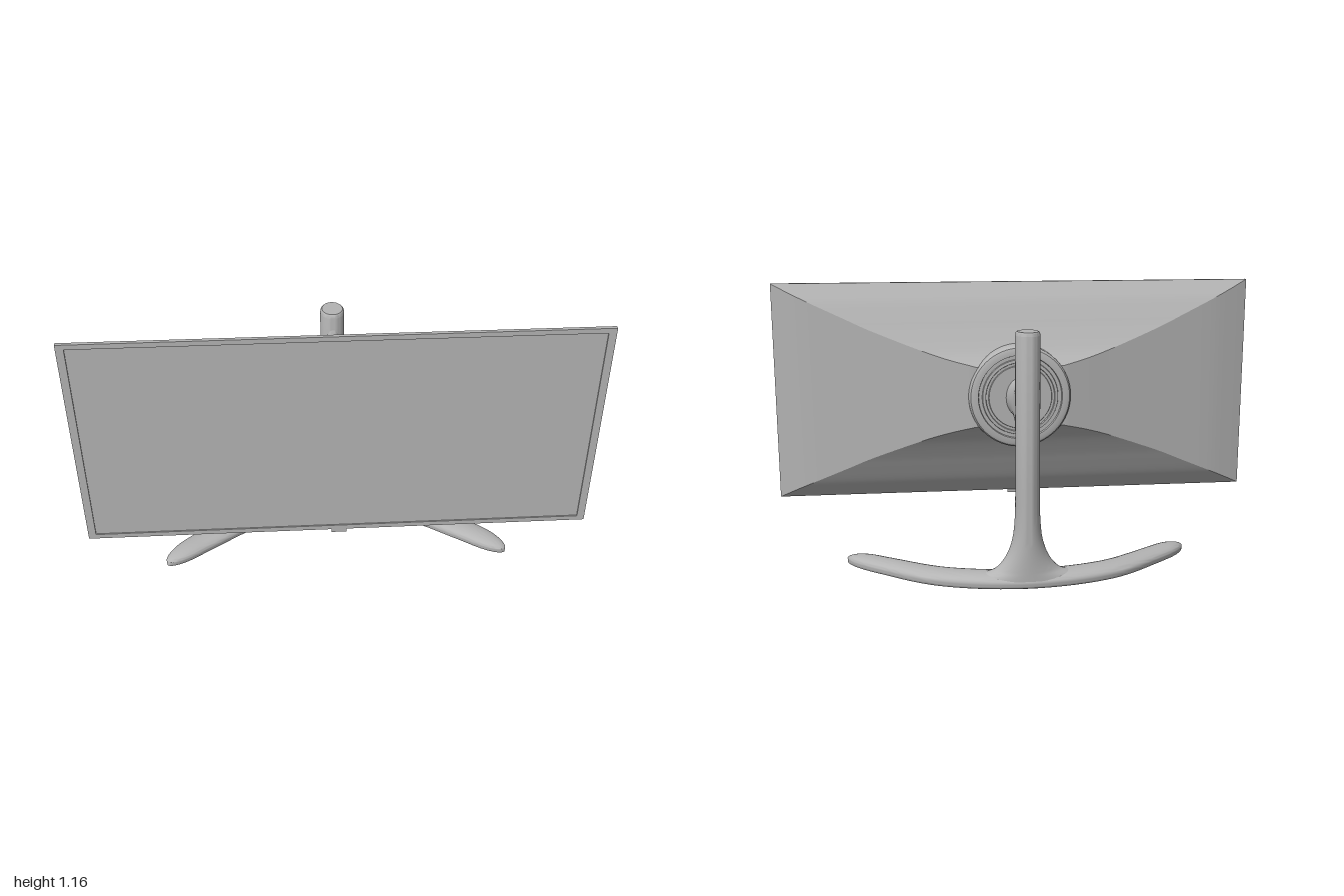
import * as THREE from 'three';
import { toCreasedNormals } from 'three/addons/utils/BufferGeometryUtils.js';

const V = (x, y, z) => new THREE.Vector3(x, y, z);

// Skin a series of closed rings (counter-clockwise about the travel direction), with end caps
function loft(rings, crease = 0.7) {
  const n = rings[0].length, last = rings.length - 1, pos = [], idx = [];
  rings.forEach(r => r.forEach(p => pos.push(p.x, p.y, p.z)));
  for (let i = 0; i < last; i++) for (let j = 0; j < n; j++) {
    const k = (j + 1) % n, a = i * n + j, b = i * n + k;
    idx.push(a, b, b + n, a, b + n, a + n);
  }
  for (const r of [rings[0], rings[last]]) {
    const c = r.reduce((s, p) => s.add(p), V(0, 0, 0)).divideScalar(n);
    pos.push(c.x, c.y, c.z);
  }
  const c0 = rings.length * n;
  for (let j = 0; j < n; j++) {
    const k = (j + 1) % n;
    idx.push(k, j, c0, last * n + j, last * n + k, c0 + 1);
  }
  const g = new THREE.BufferGeometry();
  g.setAttribute('position', new THREE.Float32BufferAttribute(pos, 3));
  g.setIndex(idx);
  return toCreasedNormals(g, crease);
}

// Ring from a function of (cos, sin)
const ring = (f, n = 40) => Array.from({ length: n }, (_, j) => {
  const a = j / n * Math.PI * 2;
  return f(Math.cos(a), Math.sin(a));
});

// Smoothly resample rows of numbers, so that a few stations give a soft profile
function resample(rows, steps) {
  const cols = rows[0].map((_, c) => new THREE.CatmullRomCurve3(rows.map((r, i) => V(i, r[c], 0))));
  return Array.from({ length: steps + 1 }, (_, i) => cols.map(c => c.getPoint(i / steps).y));
}

export function createModel() {
  const model = new THREE.Group();
  model.name = 'monitor';
  const grey = new THREE.MeshStandardMaterial({ color: 0xb4b4b4 });
  grey.name = 'grey';
  const add = (name, geo) => {
    const m = new THREE.Mesh(geo, grey);
    m.name = name;
    model.add(m);
    return m;
  };
  const cy = 0.715;

  // Bezel frame with a slightly recessed screen
  const rect = (P, w, h) => {
    const p = new P();
    p.moveTo(-w, -h); p.lineTo(w, -h); p.lineTo(w, h); p.lineTo(-w, h); p.closePath();
    return p;
  };
  const frame = rect(THREE.Shape, 1, 0.45);
  frame.holes.push(rect(THREE.Path, 0.97, 0.43));
  add('bezel', new THREE.ExtrudeGeometry(frame, { depth: 0.015, bevelEnabled: false })).position.set(0, cy, 0.25);
  add('screen', new THREE.BoxGeometry(1.95, 0.87, 0.009)).position.set(0, cy, 0.2555);

  // Rear shell: rectangles growing from the centre to the edges [z, half width, half height]
  const shell = resample([
    [0.045, 0.18, 0.124], [0.07, 0.29, 0.152], [0.098, 0.405, 0.19], [0.141, 0.6, 0.265],
    [0.165, 0.705, 0.312], [0.198, 0.845, 0.375], [0.225, 0.93, 0.415], [0.25, 1, 0.45],
  ], 28);
  add('rearShell', loft(shell.map(([z, w, h]) =>
    [V(w, cy - h, z), V(w, cy + h, z), V(-w, cy + h, z), V(-w, cy - h, z)]), 0.3));

  // Small sensor under the lower edge
  add('powerButton', new THREE.BoxGeometry(0.06, 0.016, 0.012)).position.set(0, 0.258, 0.259);

  // Round mount with grooves [radius, height toward the back]
  const profile = [
    [0.21, -0.13], [0.21, -0.05], [0.208, -0.038], [0.202, -0.029], [0.192, -0.025], [0.172, -0.025],
    [0.17, -0.036], [0.156, -0.036], [0.154, -0.028], [0.142, -0.027], [0.14, -0.034],
    [0.13, -0.034], [0.128, -0.028], [0, -0.028],
  ].map(p => new THREE.Vector2(...p));
  const hub = new THREE.LatheGeometry(profile, 64);
  hub.rotateX(-Math.PI / 2);
  add('mountHub', toCreasedNormals(hub, 0.6)).position.y = cy;

  // Neck flaring up and down into the column [z, top, bottom, half width]
  const neck = resample([
    [-0.2, 0.97, 0.42, 0.04], [-0.165, 0.97, 0.42, 0.042], [-0.148, 0.945, 0.45, 0.043],
    [-0.13, 0.875, 0.55, 0.044], [-0.095, 0.817, 0.6, 0.046], [-0.05, 0.797, 0.625, 0.049],
    [0, 0.793, 0.632, 0.054], [0.035, 0.796, 0.634, 0.06],
  ], 28);
  add('neck', loft(neck.map(([z, t, b, w]) =>
    ring((c, s) => V(w * c, (t + b) / 2 + (t - b) / 2 * s, z)))));

  // Column, spreading sideways at the foot [y, half width, half depth]
  const foot = resample([
    [0.03, 0.24, 0.058], [0.05, 0.17, 0.058], [0.07, 0.125, 0.058], [0.12, 0.085, 0.058],
    [0.19, 0.06, 0.058], [0.28, 0.05, 0.058], [0.4, 0.048, 0.058],
  ], 24);
  const column = [...foot, [1, 0.048, 0.058], [1.01, 0.046, 0.056], [1.015, 0.041, 0.051]];
  add('column', loft(column.map(([y, w, d]) => ring((c, s) => {
    const x = w * s;
    return V(x, y, -0.207 + d * c + 0.6 * x * x);
  }))));

  // Curved foot: flat underneath, rounded above, tapering to rounded tips
  const half = [[0.325, -0.135], [0.555, 0.018], [0.72, 0.152]];
  const path = new THREE.CatmullRomCurve3([
    ...half.slice().reverse().map(([x, z]) => V(-x, 0, z)), V(0, 0, -0.198),
    ...half.map(([x, z]) => V(x, 0, z)),
  ]);
  const up = V(0, 1, 0), N = 72, base = [];
  for (let i = 0; i <= N; i++) {
    const t = 0.5 - 0.5 * Math.cos(Math.PI * i / N), u = Math.abs(2 * t - 1);
    const p = path.getPointAt(t);
    const side = path.getTangentAt(t).cross(up).normalize();
    const tip = Math.sqrt(Math.max(0.0004, 1 - Math.max(0, (u - 0.84) / 0.16) ** 2));
    const w = 0.068 * (1 - 0.32 * u * u) * tip;
    const h = (0.052 - 0.008 * u * u) * (0.35 + 0.65 * tip);
    base.push(ring((c, s) => {
      const y = c > 0 ? 0.018 + (h - 0.018) * Math.pow(c, 0.8) : 0.018 - 0.018 * Math.min(1, -c * 2.5);
      return p.clone().addScaledVector(side, w * s).setY(y);
    }));
  }
  add('base', loft(base, 0.8));

  return model;
}
